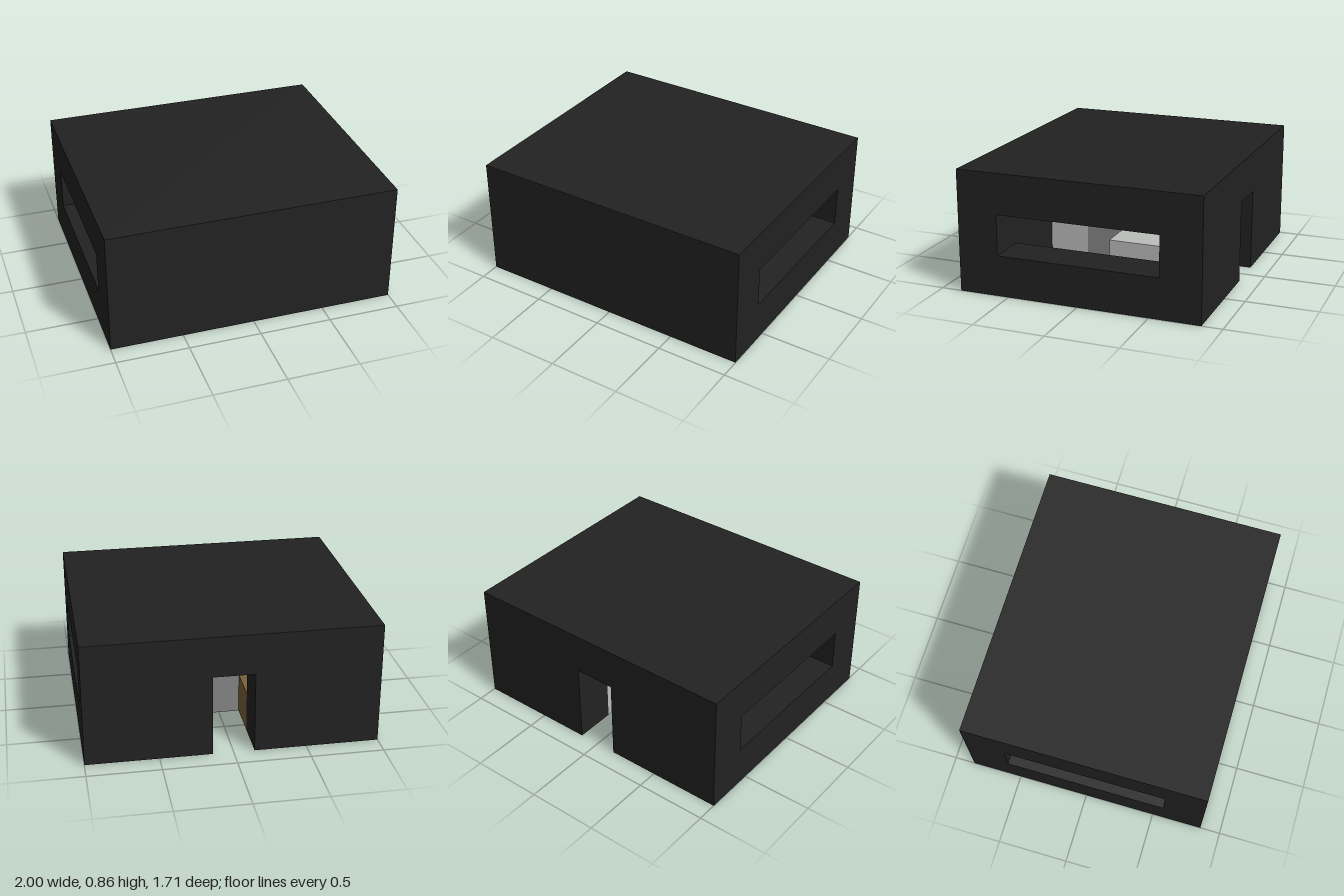
import * as THREE from 'three';

// Everything sits on a grid: 7 units wide, 3 high, 6 deep
const U = 2 / 7;

const material = (name, color) => {
  const m = new THREE.MeshStandardMaterial({ color });
  m.name = name;
  return m;
};

export function createModel() {
  const model = new THREE.Group();
  model.name = 'bunker';

  const charcoal = material('charcoal', 0x222222);
  const paleGrey = material('paleGrey', 0xbcbebc);
  const midGrey = material('midGrey', 0x878787);
  const wood = material('wood', 0x7d623c);

  // Box between two corners given in grid units
  const block = (parent, name, mat, [x0, y0, z0], [x1, y1, z1]) => {
    const geometry = new THREE.BoxGeometry((x1 - x0) * U, (y1 - y0) * U, (z1 - z0) * U);
    const mesh = new THREE.Mesh(geometry, mat);
    mesh.name = name;
    mesh.position.set((x0 + x1) / 2 * U, (y0 + y1) / 2 * U, (z0 + z1) / 2 * U);
    parent.add(mesh);
  };

  // Shell: open underneath, doorway at the back, long slot in each side
  const shell = new THREE.Group();
  shell.name = 'shell';
  model.add(shell);
  block(shell, 'roof', charcoal, [-3.5, 2, -3], [3.5, 3, 3]);
  block(shell, 'frontWall', charcoal, [-3.5, 0, 2], [3.5, 2, 3]);
  for (const [side, x0] of [['left', 0.5], ['right', -3.5]]) {
    block(shell, side + 'BackWall', charcoal, [x0, 0, -3], [x0 + 3, 2, -2]);
  }
  for (const [side, x0] of [['left', 2.5], ['right', -3.5]]) {
    block(shell, side + 'WindowSill', charcoal, [x0, 0, -2], [x0 + 1, 1, 2]);
  }

  // Furniture blocks, one unit high
  const furniture = new THREE.Group();
  furniture.name = 'furniture';
  model.add(furniture);
  block(furniture, 'sideBench', paleGrey, [0.5, 0, -2], [1.5, 1, 0]);
  block(furniture, 'frontBench', paleGrey, [-1.5, 0, 1], [0.5, 1, 2]);
  block(furniture, 'table', midGrey, [-0.5, 0, -1], [0.5, 1, 1]);
  block(furniture, 'crate', wood, [-1.5, 0, -2], [-0.5, 1, -1]);

  return model;
}
